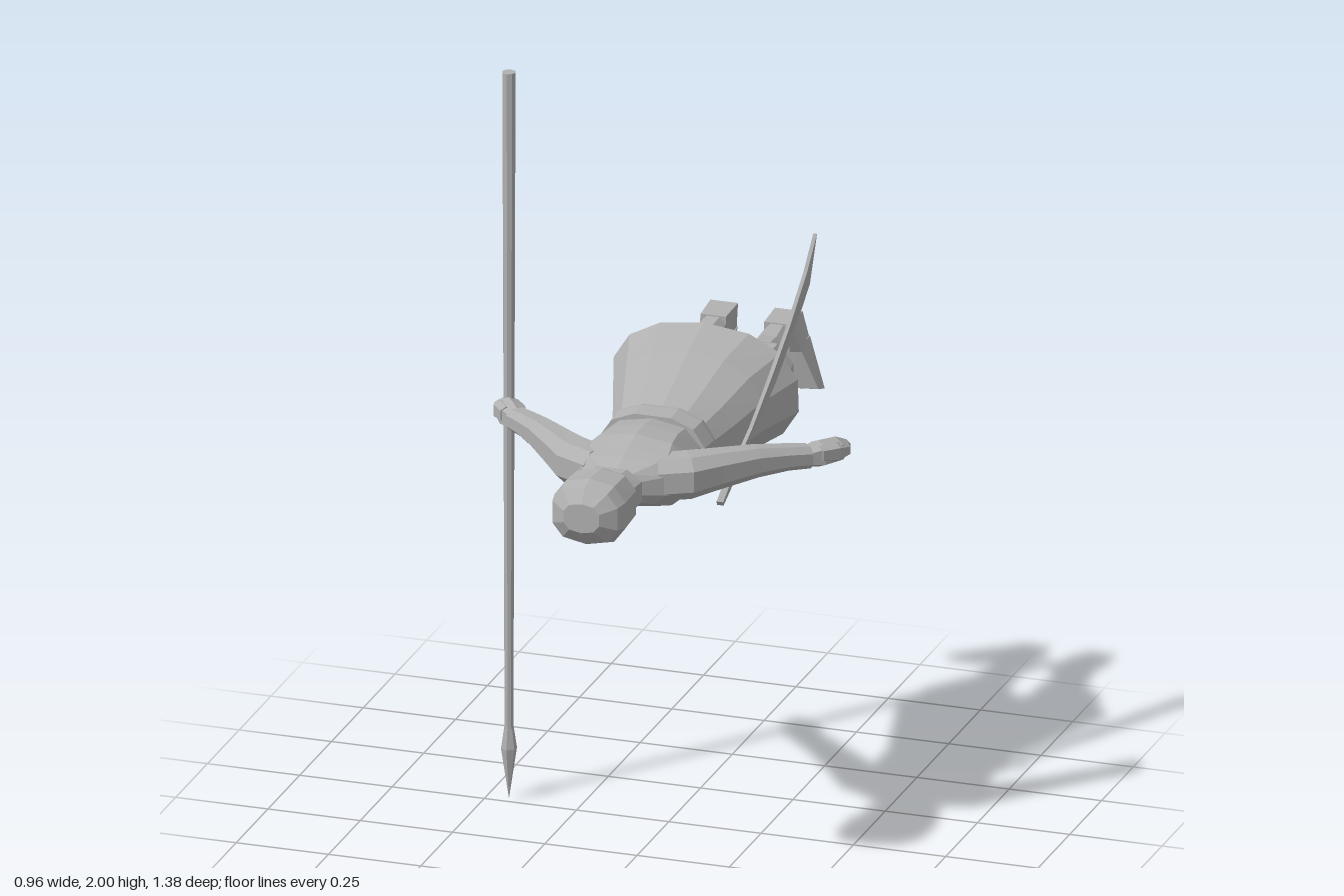
import * as THREE from 'three';
import { ConvexGeometry } from 'three/addons/geometries/ConvexGeometry.js';

const grey = new THREE.MeshStandardMaterial({ color: 0xb0b0b0 });
grey.name = 'plain grey';

// Faceted mesh with one normal per face
function part(name, geometry, parent) {
  const flat = geometry.index ? geometry.toNonIndexed() : geometry;
  flat.computeVertexNormals();
  const mesh = new THREE.Mesh(flat, grey);
  mesh.name = name;
  parent.add(mesh);
  return mesh;
}

// Skin over cross-sections [x, z, halfWidth, yBottom, yTop, hemTilt]; power < 1 gives squarer rings
function loft(sections, sides = 8, power = 0.8) {
  const pos = [], idx = [], n = sections.length;
  const squash = (v) => Math.sign(v) * Math.pow(Math.abs(v), power);
  sections.forEach(([x, z, w, y0, y1, tilt = 0], i) => {
    const a = sections[Math.max(i - 1, 0)], b = sections[Math.min(i + 1, n - 1)];
    const d = new THREE.Vector2(b[0] - a[0], b[1] - a[1]).normalize();
    for (let j = 0; j < sides; j++) {
      const t = ((j + 0.5) / sides) * Math.PI * 2;
      const u = squash(Math.cos(t)) * w, v = squash(Math.sin(t));
      pos.push(x + d.y * u, (y0 + y1) / 2 + v * (y1 - y0) / 2, z - d.x * u + tilt * v);
    }
  });
  for (let i = 0; i < n - 1; i++) for (let j = 0; j < sides; j++) {
    const k = (j + 1) % sides, a = i * sides, b = a + sides;
    idx.push(a + j, a + k, b + k, a + j, b + k, b + j);
  }
  const end = (n - 1) * sides;
  for (let j = 1; j < sides - 1; j++) idx.push(0, j + 1, j, end, end + j, end + j + 1);
  const g = new THREE.BufferGeometry();
  g.setAttribute('position', new THREE.Float32BufferAttribute(pos, 3));
  g.setIndex(idx);
  return g;
}

const hull = (points) => new ConvexGeometry(points.map((p) => new THREE.Vector3(...p)));

// Thin plate drawn in the side plane (-z, y), leaning outwards with height
function sidePlate(points, thickness) {
  const shape = new THREE.Shape(points.map((p) => new THREE.Vector2(...p)));
  const g = new THREE.ExtrudeGeometry(shape, { depth: thickness, bevelEnabled: false });
  g.translate(0, 0, -thickness / 2).rotateY(Math.PI / 2);
  const p = g.attributes.position;
  for (let i = 0; i < p.count; i++) {
    const t = p.getY(i) - 0.93;
    p.setX(i, p.getX(i) + 0.168 + 0.278 * t - 0.13 * t * t);
  }
  return g;
}

export function createModel() {
  const model = new THREE.Group();
  model.name = 'spearBearer';

  // Trunk, belt and skirt
  part('torso', loft([
    [0, 0.10, 0.135, 0.95, 1.155], [0, 0.19, 0.137, 0.955, 1.165], [0, 0.26, 0.15, 0.965, 1.165],
    [0, 0.32, 0.165, 0.99, 1.15], [0, 0.365, 0.13, 1.01, 1.14], [0, 0.41, 0.06, 1.03, 1.12],
  ], 10), model);
  part('belt', loft([
    [0, 0.055, 0.148, 0.943, 1.168], [0, 0.07, 0.15, 0.94, 1.17], [0, 0.13, 0.146, 0.943, 1.168],
  ], 12), model);
  part('skirt', loft([
    [0, -0.295, 0.255, 0.92, 1.27, 0.016], [0, -0.15, 0.207, 0.93, 1.24],
    [0, -0.03, 0.166, 0.937, 1.19], [0, 0.06, 0.137, 0.945, 1.16],
  ], 14, 0.9), model);

  // Head, looking down
  const head = new THREE.Group();
  head.name = 'head';
  model.add(head);
  part('neck', loft([[0, 0.39, 0.058, 1.02, 1.115], [0, 0.46, 0.055, 1.02, 1.11]]), head);
  part('hair', loft([
    [0, 0.425, 0.06, 1.04, 1.125], [0, 0.45, 0.088, 1.03, 1.145], [0, 0.52, 0.082, 1.015, 1.15],
  ]), head);
  part('cap', loft([
    [0, 0.505, 0.08, 1.02, 1.16], [0, 0.53, 0.098, 1.005, 1.17], [0, 0.62, 0.1, 0.995, 1.175],
    [0, 0.66, 0.092, 1.01, 1.165], [0, 0.69, 0.05, 1.05, 1.13],
  ], 10), head);
  part('chin', loft([
    [0, 0.42, 0.025, 0.967, 1.0], [0, 0.45, 0.05, 0.975, 1.06], [0, 0.53, 0.065, 0.995, 1.08],
  ], 6), head);
  part('nose', hull([
    [0, 1.0, 0.55], [-0.018, 1.01, 0.49], [0.018, 1.01, 0.49], [0, 0.97, 0.495], [0, 1.02, 0.5],
  ]), head);

  // Limbs, mirrored
  for (const [s, side] of [[1, 'left'], [-1, 'right']]) {
    const arm = new THREE.Group();
    arm.name = side + 'Arm';
    model.add(arm);
    part('sleeve', loft([
      [s * 0.08, 0.325, 0.06, 1.02, 1.14], [s * 0.155, 0.295, 0.062, 1.025, 1.145],
      [s * 0.21, 0.24, 0.05, 1.035, 1.14], [s * 0.29, 0.16, 0.039, 1.048, 1.132],
      [s * 0.35, 0.095, 0.036, 1.05, 1.118], [s * 0.395, 0.05, 0.033, 1.045, 1.108],
    ]), arm);
    part('hand', loft([
      [s * 0.385, 0.06, 0.025, 1.05, 1.1], [s * 0.415, 0.025, 0.038, 1.04, 1.113],
      [s * 0.445, -0.02, 0.033, 1.04, 1.11], [s * 0.462, -0.058, 0.014, 1.055, 1.09],
    ], 6), arm);
    part('thumb', loft([
      [s * 0.425, 0.045, 0.018, 1.06, 1.105], [s * 0.455, 0.005, 0.02, 1.05, 1.105],
      [s * 0.472, -0.035, 0.012, 1.055, 1.09],
    ], 6), arm);

    const leg = new THREE.Group();
    leg.name = side + 'Leg';
    model.add(leg);
    part('trouser', loft([
      [s * 0.11, -0.25, 0.095, 0.965, 1.2], [s * 0.117, -0.32, 0.1, 0.965, 1.2],
      [s * 0.118, -0.39, 0.088, 0.98, 1.195], [s * 0.1, -0.435, 0.062, 1.01, 1.175],
      [s * 0.092, -0.455, 0.042, 1.055, 1.155],
    ]), leg);
    part('shin', loft([
      [s * 0.092, -0.44, 0.048, 1.045, 1.165], [s * 0.09, -0.53, 0.042, 1.07, 1.155],
      [s * 0.086, -0.61, 0.036, 1.085, 1.16],
    ]), leg);
    const corners = [];
    for (const y of [1.085, 1.16]) for (const x of [0.052, 0.12]) corners.push([s * x, y, -0.6]);
    for (const [x, y] of [[0.05, 1.165], [0.125, 1.165], [0.15, 1.07], [0.055, 1.07]]) corners.push([s * x, y, -0.69]);
    corners.push([s * 0.14, 1.075, -0.635], [s * 0.055, 1.075, -0.635]);
    part('heel', hull(corners), leg);
    part('toe', hull([
      [0.052, 1.09, -0.635], [0.135, 1.09, -0.635], [0.05, 1.1, -0.69], [0.145, 1.1, -0.69],
      [0.095, 0.965, -0.655], [0.18, 0.97, -0.655], [0.095, 0.95, -0.69], [0.185, 0.96, -0.69],
    ].map(([x, y, z]) => [s * x, y, z])), leg);
  }

  // Spear held point down
  const spear = new THREE.Group();
  spear.name = 'spear';
  spear.position.set(-0.44, 0, -0.02);
  model.add(spear);
  part('shaft', new THREE.CylinderGeometry(0.018, 0.012, 1.81, 8), spear).position.y = 1.095;
  part('spearhead', new THREE.LatheGeometry(
    [[0, 0], [0.021, 0.14], [0.012, 0.2], [0, 0.205]].map((p) => new THREE.Vector2(...p)), 6), spear);

  // Curved sword at the left hip
  const sword = new THREE.Group();
  sword.name = 'sword';
  model.add(sword);
  part('blade', sidePlate([
    [-0.02, 1.05], [0, 1.02], [0.06, 1.07], [0.165, 1.18], [0.25, 1.3], [0.312, 1.4],
    [0.312, 1.54], [0.27, 1.45], [0.19, 1.325], [0.116, 1.22], [0.03, 1.1],
  ], 0.01), sword);
  part('guard', sidePlate([[-0.045, 1.06], [-0.055, 1.05], [0.005, 0.985], [0.015, 0.995]], 0.04), sword);
  part('hilt', sidePlate([
    [-0.03, 1.035], [-0.07, 0.98], [-0.09, 0.935], [-0.075, 0.92], [-0.05, 0.95], [-0.005, 1.01],
  ], 0.018), sword);

  return model;
}
